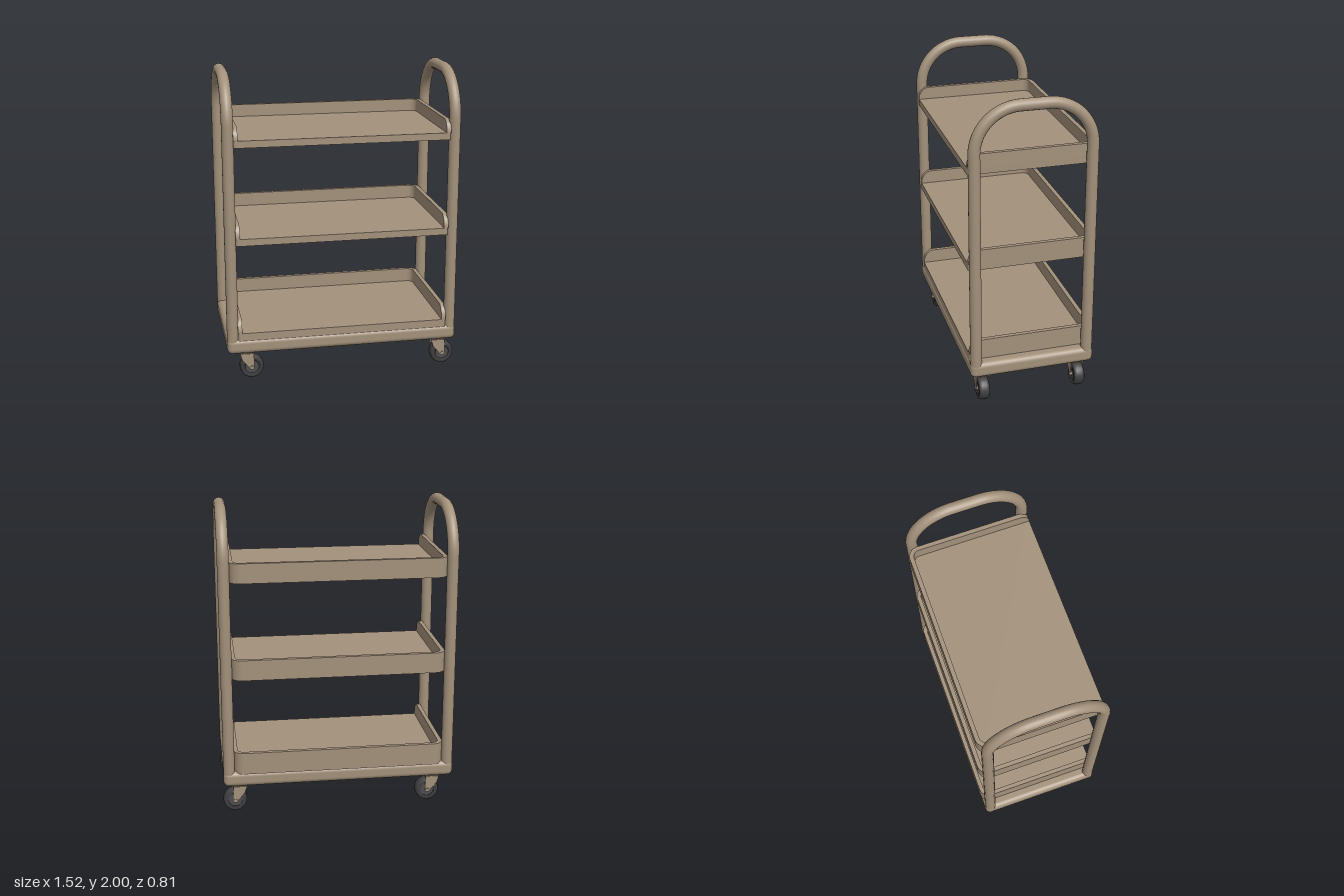
import * as THREE from 'three';
import { RoundedBoxGeometry } from 'three/addons/geometries/RoundedBoxGeometry.js';

const mat = (name, color) => Object.assign(new THREE.MeshStandardMaterial({ color }), { name });

export function createModel() {
  const root = new THREE.Group();
  root.name = 'serviceCart';
  const tan = mat('warmTan', 0xa3917b);
  const rubber = mat('darkRubber', 0x3f3f41);
  const hubGrey = mat('hubGrey', 0x4d4d4f);

  const add = (parent, name, geo, material, x = 0, y = 0, z = 0) => {
    const m = new THREE.Mesh(geo, material);
    m.name = name;
    m.position.set(x, y, z);
    parent.add(m);
    return m;
  };
  // Plan shapes use (x, -z); extruding then runs upward.
  const slab = (shape, depth) =>
    new THREE.ExtrudeGeometry(shape, { depth, bevelEnabled: false, curveSegments: 8 }).rotateX(-Math.PI / 2);

  // Base deck
  add(root, 'baseDeck', new RoundedBoxGeometry(1.514, 0.103, 0.81, 5, 0.034), tan, 0, 0.2455, 0);

  // Arched side hoops
  const V = (y, z) => new THREE.Vector3(0, y, z);
  const k = 0.5523, R = 0.28, zp = 0.366, top = 1.963;
  const hoop = new THREE.CurvePath();
  hoop.add(new THREE.LineCurve3(V(0.23, zp), V(top - R, zp)));
  hoop.add(new THREE.CubicBezierCurve3(V(top - R, zp), V(top - R + k * R, zp), V(top, zp - R + k * R), V(top, zp - R)));
  hoop.add(new THREE.LineCurve3(V(top, zp - R), V(top, R - zp)));
  hoop.add(new THREE.CubicBezierCurve3(V(top, R - zp), V(top, R - zp - k * R), V(top - R + k * R, -zp), V(top - R, -zp)));
  hoop.add(new THREE.LineCurve3(V(top - R, -zp), V(0.23, -zp)));
  const hoopGeo = new THREE.TubeGeometry(hoop, 160, 0.037, 18, false);
  for (const s of [-1, 1]) add(root, s > 0 ? 'leftHoop' : 'rightHoop', hoopGeo, tan, s * 0.72, 0, 0);

  // Trays: floor with rounded back corners, U-shaped rim open to the front
  const W = 0.688, back = 0.41, front = -0.4, rc = 0.07, t = 0.028, roundR = 0.07;
  const floorShape = new THREE.Shape();
  floorShape.moveTo(-W + 0.02, front);
  floorShape.lineTo(W - 0.02, front);
  floorShape.quadraticCurveTo(W, front, W, front + 0.02);
  floorShape.lineTo(W, back - rc);
  floorShape.absarc(W - rc, back - rc, rc, 0, Math.PI / 2);
  floorShape.absarc(rc - W, back - rc, rc, Math.PI / 2, Math.PI);
  floorShape.lineTo(-W, front + 0.02);
  floorShape.quadraticCurveTo(-W, front, -W + 0.02, front);

  const rim = new THREE.Shape();
  const end = front + roundR, ri = rc - t;
  rim.moveTo(W - t, end);
  rim.lineTo(W, end);
  rim.lineTo(W, back - rc);
  rim.absarc(W - rc, back - rc, rc, 0, Math.PI / 2);
  rim.absarc(rc - W, back - rc, rc, Math.PI / 2, Math.PI);
  rim.lineTo(-W, end);
  rim.lineTo(-W + t, end);
  rim.lineTo(-W + t, back - rc);
  rim.absarc(rc - W, back - rc, ri, Math.PI, Math.PI / 2, true);
  rim.absarc(W - rc, back - rc, ri, Math.PI / 2, 0, true);

  const makeTray = (name, y0, floorH, height) => {
    const tray = new THREE.Group();
    tray.name = name;
    tray.position.y = y0;
    root.add(tray);
    const wallH = height - floorH;
    add(tray, 'trayFloor', slab(floorShape, floorH), tan);
    add(tray, 'trayRim', slab(rim, wallH), tan, 0, floorH, 0);
    // Curved front end of each side wall
    const tip = new THREE.Shape();
    tip.moveTo(0, 0);
    tip.lineTo(roundR, 0);
    tip.absellipse(0, 0, roundR, wallH, 0, Math.PI / 2);
    const tipGeo = new THREE.ExtrudeGeometry(tip, { depth: t, bevelEnabled: false, curveSegments: 8 })
      .rotateY(-Math.PI / 2);
    for (const x of [W, -W + t]) add(tray, 'rimEnd', tipGeo, tan, x, floorH, -end);
  };
  makeTray('topTray', 1.55, 0.045, 0.126);
  makeTray('middleTray', 0.923, 0.045, 0.133);
  makeTray('bottomTray', 0.285, 0.052, 0.145);

  // Swivel casters, all trailing toward +x
  const tyreProfile = [[0.045, -0.034], [0.066, -0.034], [0.074, -0.028], [0.078, -0.014],
    [0.078, 0.014], [0.074, 0.028], [0.066, 0.034], [0.045, 0.034], [0.045, -0.034]]
    .map(([r, y]) => new THREE.Vector2(r, y));
  const tyreGeo = new THREE.LatheGeometry(tyreProfile, 28).rotateX(Math.PI / 2);
  const hubGeo = new THREE.CylinderGeometry(0.046, 0.046, 0.058, 24).rotateX(Math.PI / 2);
  const axleGeo = new THREE.CylinderGeometry(0.012, 0.012, 0.096, 12).rotateX(Math.PI / 2);
  // Fork cheek relative to the wheel centre
  const cheek = new THREE.Shape();
  cheek.moveTo(-0.076, 0.094);
  cheek.lineTo(0.012, 0.094);
  cheek.lineTo(0.016, 0);
  cheek.absarc(0, 0, 0.016, 0, -Math.PI * 0.7, true);
  cheek.lineTo(-0.064, 0.052);
  const cheekGeo = new THREE.ExtrudeGeometry(cheek, { depth: 0.006, bevelEnabled: false });
  for (const x of [-0.597, 0.683]) for (const z of [-0.318, 0.318]) {
    const caster = new THREE.Group();
    caster.name = 'caster';
    caster.position.set(x, 0.082, z);
    root.add(caster);
    add(caster, 'tyre', tyreGeo, rubber);
    add(caster, 'hub', hubGeo, hubGrey);
    add(caster, 'axle', axleGeo, tan);
    for (const cz of [0.037, -0.043]) add(caster, 'forkCheek', cheekGeo, tan, 0, 0, cz);
    add(caster, 'forkCrown', new THREE.BoxGeometry(0.088, 0.012, 0.086), tan, -0.032, 0.09, 0);
    add(caster, 'swivel', new THREE.CylinderGeometry(0.03, 0.03, 0.02, 20), tan, -0.036, 0.102, 0);
    add(caster, 'mountPlate', new THREE.BoxGeometry(0.086, 0.012, 0.11), tan, -0.036, 0.11, 0);
  }
  return root;
}
